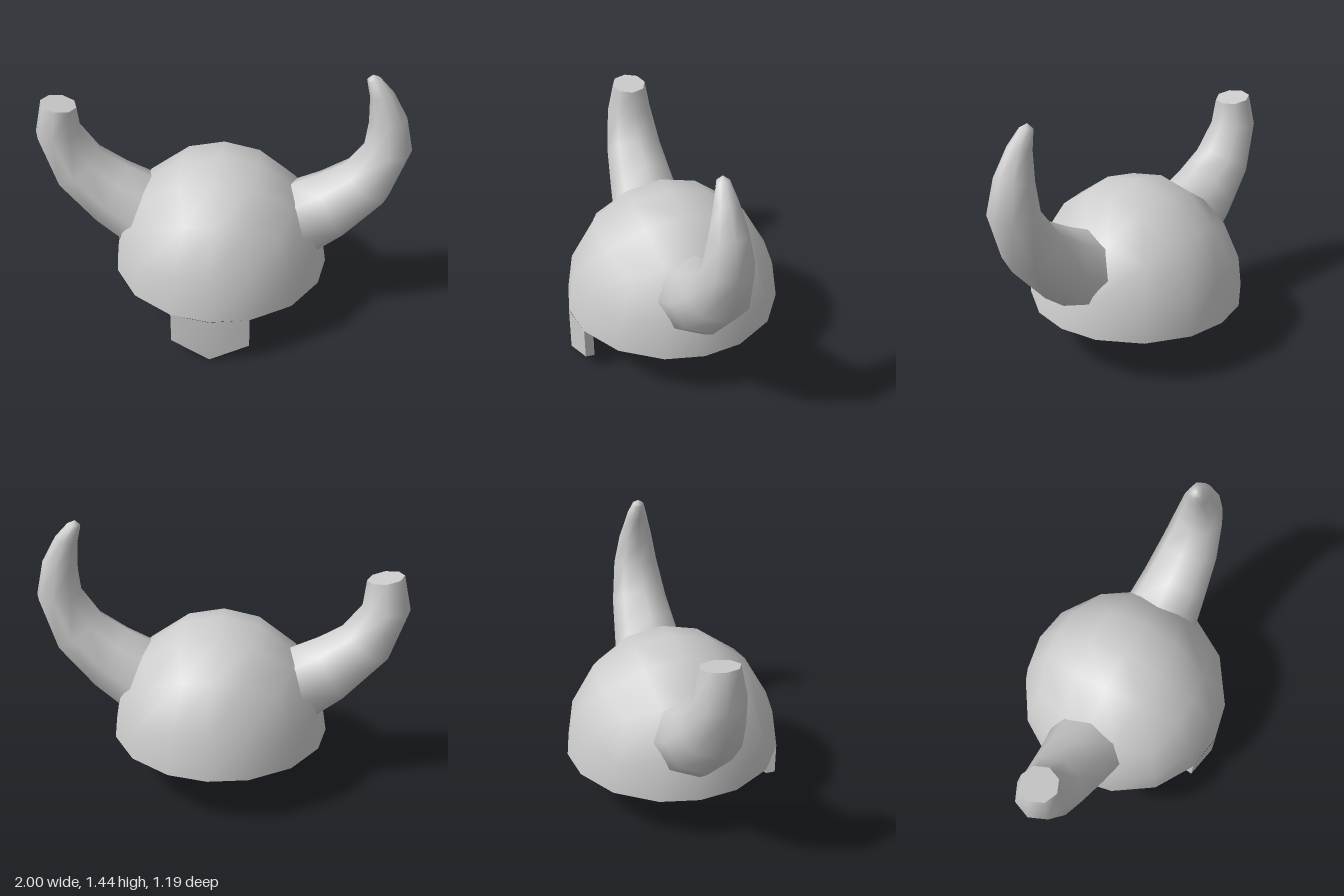
import * as THREE from 'three';
import { toCreasedNormals } from 'three/addons/utils/BufferGeometryUtils.js';

const material = new THREE.MeshStandardMaterial({ color: 0xcccccc });

// Polygons (counter-clockwise corner lists) to a smooth mesh with sharp edges
function polyMesh(name, polys, flip = false) {
  const pos = [];
  for (const poly of polys) {
    const p = flip ? [...poly].reverse() : poly;
    for (let i = 1; i < p.length - 1; i++) pos.push(...p[0], ...p[i], ...p[i + 1]);
  }
  const geo = new THREE.BufferGeometry();
  geo.setAttribute('position', new THREE.Float32BufferAttribute(pos, 3));
  const mesh = new THREE.Mesh(toCreasedNormals(geo, Math.PI / 3), material);
  mesh.name = name;
  return mesh;
}

// Dome: upper half of a cube rounded into an ellipsoid, with an inner shell and a rim
function createDome() {
  const steps = [-1, -0.375, 0, 0.375, 1];
  const shell = (radius, height, base) => (x, y, z) => {
    const l = Math.hypot(x, y, z);
    return [x / l * radius, base + y / l * height, z / l * radius];
  };
  const outer = shell(0.595, 0.662, 0.273);
  const inner = shell(0.54, 0.605, 0.265);
  const polys = [];
  const addCell = (corners) => {
    polys.push(corners.map((c) => outer(...c)));
    polys.push(corners.map((c) => inner(...c)).reverse());
  };
  for (let i = 0; i < 4; i++) {
    const u0 = steps[i], u1 = steps[i + 1];
    // Top face of the rounded cube
    for (let j = 0; j < 4; j++) {
      const v0 = steps[j], v1 = steps[j + 1];
      addCell([[u0, 1, v1], [u1, 1, v1], [u1, 1, v0], [u0, 1, v0]]);
    }
    // Four side faces and the rim below them
    for (let k = 0; k < 4; k++) {
      const turn = (p) => {
        for (let n = 0; n < k; n++) p = [p[2], p[1], -p[0]];
        return p;
      };
      for (let j = 2; j < 4; j++) {
        const v0 = steps[j], v1 = steps[j + 1];
        addCell([[u0, v0, 1], [u1, v0, 1], [u1, v1, 1], [u0, v1, 1]].map(turn));
      }
      const a = turn([u0, 0, 1]), b = turn([u1, 0, 1]);
      polys.push([inner(...a), inner(...b), outer(...b), outer(...a)]);
    }
  }
  return polyMesh('dome', polys);
}

// Nose guard: bent plate hanging from the front of the rim, pointed at the bottom
function createNoseGuard() {
  const top = 0.273;
  const out = [[-0.209, 0.095, 0.557], [0, 0.014, 0.597], [0.209, 0.095, 0.557]];
  const inn = [[-0.2, 0.086, 0.506], [0, 0.004, 0.542], [0.2, 0.086, 0.506]];
  const up = ([x, , z]) => [x, top, z];
  const polys = [];
  for (let i = 0; i < 2; i++) {
    const a = out[i], b = out[i + 1], c = inn[i], d = inn[i + 1];
    polys.push([a, b, up(b), up(a)], [d, c, up(c), up(d)], [c, d, b, a]);
  }
  polys.push([inn[0], out[0], up(out[0]), up(inn[0])]);
  polys.push([out[2], inn[2], up(inn[2]), up(out[2])]);
  return polyMesh('noseGuard', polys);
}

// Horn cross-sections: inner x, y, outer x, y, half width in z
const hornSections = [
  [0.365, 0.762, 0.56, 0.39, 0.214],
  [0.51, 0.83, 0.70, 0.50, 0.192],
  [0.65, 0.91, 0.905, 0.73, 0.165],
  [0.75, 1.04, 1.0, 1.02, 0.13],
  [0.764, 1.175, 0.955, 1.21, 0.098],
  [0.757, 1.32, 0.875, 1.35, 0.06],
  [0.734, 1.415, 0.802, 1.427, 0.032],
];

// Eight-sided horn closed at its end point; side is +1 or -1
function createHorn(name, side, sections, end) {
  const rings = sections.map(([x0, y0, x1, y1, w]) =>
    Array.from({ length: 8 }, (_, i) => {
      const t = i * Math.PI / 4, k = (1 + Math.cos(t)) / 2;
      return [side * (x0 + (x1 - x0) * k), y0 + (y1 - y0) * k, w * Math.sin(t)];
    }));
  const polys = [];
  rings.forEach((ring, r) => {
    for (let i = 0; i < 8; i++) {
      const j = (i + 1) % 8, next = rings[r + 1];
      polys.push(next
        ? [ring[j], ring[i], next[i], next[j]]
        : [ring[j], ring[i], [side * end[0], end[1], 0]]);
    }
  });
  return polyMesh(name, polys, side < 0);
}

export function createModel() {
  const helmet = new THREE.Group();
  helmet.name = 'hornedHelmet';
  helmet.add(
    createDome(),
    createNoseGuard(),
    createHorn('leftHorn', 1, hornSections, [0.762, 1.443]),
    // The right horn is broken off with a flat end
    createHorn('rightBrokenHorn', -1, hornSections.slice(0, 5), [0.8595, 1.1925]),
  );
  return helmet;
}
